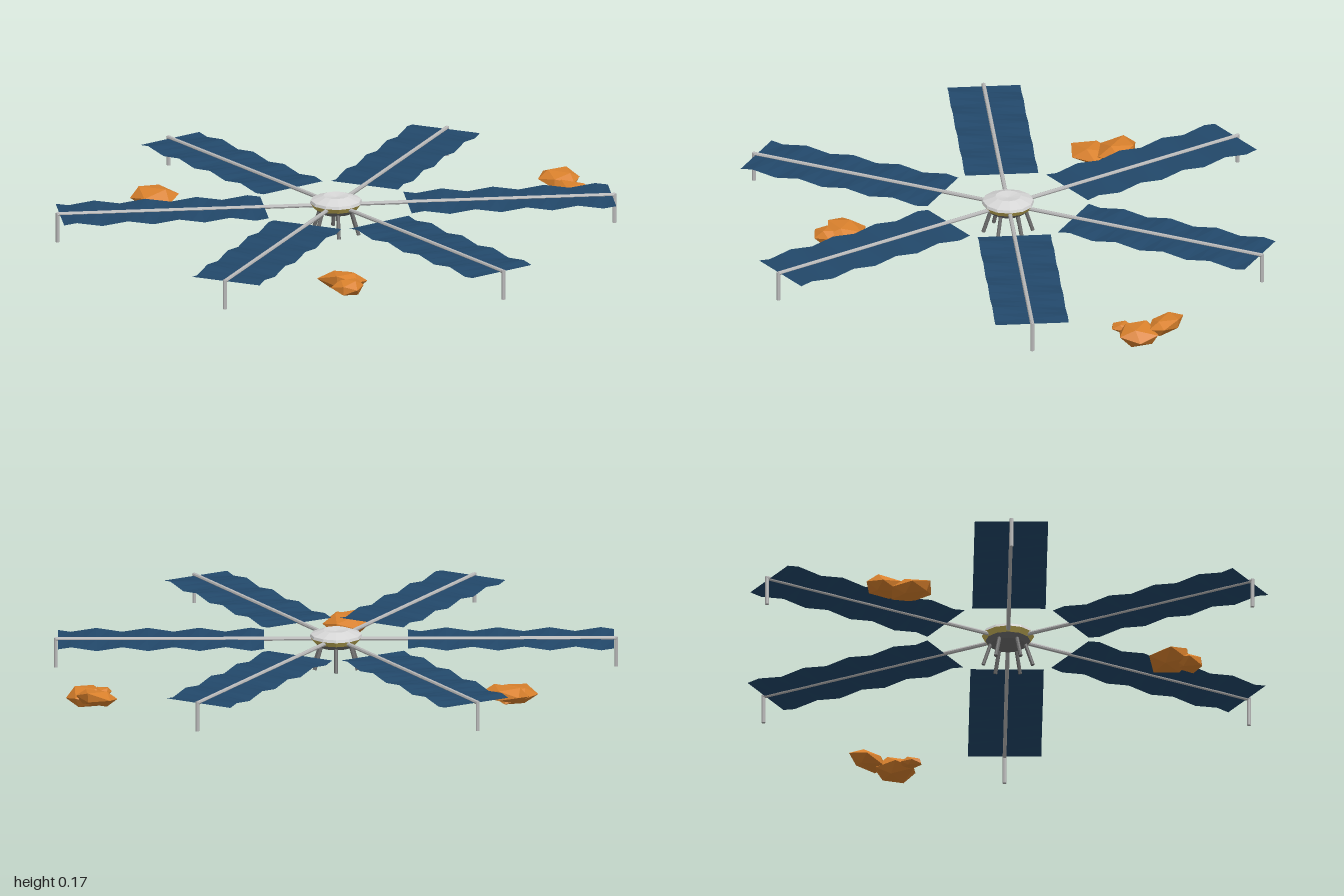
import * as THREE from 'three';

const mat = (name, color, extra = {}) => {
  const m = new THREE.MeshStandardMaterial({ color, flatShading: true, ...extra });
  m.name = name;
  return m;
};

export function createModel() {
  const white = mat('hub white', 0xd6d6d6, { side: THREE.DoubleSide });
  const gold = mat('gold foil', 0xc9b458, { side: THREE.DoubleSide });
  const dark = mat('dark grey', 0x6e6e6e, { side: THREE.DoubleSide });
  const metal = mat('boom metal', 0xb8b8b8);
  const blue = mat('panel blue', 0x22486a, { side: THREE.DoubleSide });
  const orange = mat('rock orange', 0xd8802c);

  const model = new THREE.Group();
  const add = (parent, name, geo, material) => {
    const mesh = new THREE.Mesh(geo, material);
    mesh.name = name;
    parent.add(mesh);
    return mesh;
  };

  // Round bar between two points
  const bar = (parent, name, a, b, r, material) => {
    const from = new THREE.Vector3(...a), to = new THREE.Vector3(...b);
    const dir = to.clone().sub(from);
    const mesh = add(parent, name, new THREE.CylinderGeometry(r, r, dir.length(), 8), material);
    mesh.position.copy(from).add(to).multiplyScalar(0.5);
    mesh.quaternion.setFromUnitVectors(new THREE.Vector3(0, 1, 0), dir.normalize());
    return mesh;
  };

  // Hub: pale cap, foil band and dark underside, each a ring profile
  const hub = new THREE.Group();
  hub.name = 'hub';
  const lathe = (name, pts, material) =>
    add(hub, name, new THREE.LatheGeometry(pts.map(p => new THREE.Vector2(...p)), 12), material);
  lathe('hubUnderside', [[0, 0.117], [0.062, 0.117], [0.08, 0.133]], dark);
  lathe('hubBand', [[0.08, 0.133], [0.093, 0.151]], gold);
  lathe('hubCap', [[0.093, 0.151], [0.09, 0.161], [0.045, 0.177]], white);
  lathe('hubDish', [[0.045, 0.177], [0, 0.171]], white);

  // Six splayed legs, between the booms
  for (let i = 0; i < 6; i++) {
    const a = i * Math.PI / 3, c = Math.cos(a), s = Math.sin(a);
    bar(hub, 'leg', [0.06 * c, 0.125, 0.06 * s], [0.088 * c, 0.04, 0.088 * s], 0.007, dark);
  }
  model.add(hub);

  // Rippled sheet whose two long edges wave in opposite phase
  const r0 = 0.255, r1 = 0.985;
  const sheet = new THREE.PlaneGeometry(r1 - r0, 0.26, 16, 2);
  sheet.rotateX(-Math.PI / 2);
  sheet.translate((r0 + r1) / 2, 0.141, 0);
  const sp = sheet.attributes.position;
  for (let i = 0; i < sp.count; i++) {
    const t = (sp.getX(i) - r0) / (r1 - r0);
    sp.setY(i, sp.getY(i) + 0.007 * Math.sin(t * Math.PI * 8) * sp.getZ(i) / 0.13);
  }
  sheet.computeVertexNormals();

  // Six arms: panel, boom and end post
  for (let i = 0; i < 6; i++) {
    const arm = new THREE.Group();
    arm.name = 'solarArm';
    add(arm, 'solarPanel', sheet, blue);
    bar(arm, 'boom', [0.05, 0.143, 0], [0.995, 0.143, 0], 0.0075, metal);
    bar(arm, 'endPost', [0.993, 0.148, 0], [0.993, 0.04, 0], 0.007, metal);
    arm.rotation.y = Math.PI / 6 + i * Math.PI / 3;
    model.add(arm);
  }

  // Faceted rock: icosahedron with each corner pushed by a seeded rule
  const rock = (parent, seed, [x, y, z], [sx, sy, sz], tilt) => {
    const geo = new THREE.IcosahedronGeometry(1, 0);
    const p = geo.attributes.position, v = new THREE.Vector3();
    for (let i = 0; i < p.count; i++) {
      v.fromBufferAttribute(p, i);
      const k = 1 + 0.13 * Math.sin(seed * 7.1 + v.x * 5.3 + v.y * 9.7 + v.z * 13.1);
      p.setXYZ(i, v.x * k * sx, v.y * k * sy, v.z * k * sz);
    }
    geo.rotateX(tilt);
    geo.computeVertexNormals();
    geo.computeBoundingBox();
    // Keep every rock on or above the ground
    const low = y + geo.boundingBox.min.y;
    add(parent, 'rock', geo, orange).position.set(x, low < 0 ? y - low : y, z);
  };

  // Three clusters: [position, radii, tilt]
  const clusters = [
    [[[0.5, 0.062, -0.845], [0.085, 0.03, 0.062], 0.15],
      [[0.575, 0.04, -0.78], [0.08, 0.038, 0.075], -0.2],
      [[0.55, 0.041, -0.705], [0.035, 0.017, 0.045], 0]],
    [[[-0.745, 0.058, -0.085], [0.09, 0.034, 0.075], 0.15],
      [[-0.725, 0.034, 0.01], [0.078, 0.034, 0.085], 0]],
    [[[0.255, 0.045, 0.52], [0.088, 0.037, 0.08], -0.15],
      [[0.295, 0.04, 0.57], [0.06, 0.03, 0.06], 0.1]],
  ];
  clusters.forEach((rocks, c) => {
    const group = new THREE.Group();
    group.name = 'rockCluster';
    rocks.forEach(([pos, radii, tilt], i) => rock(group, c * 3 + i + 1, pos, radii, tilt));
    model.add(group);
  });

  return model;
}
